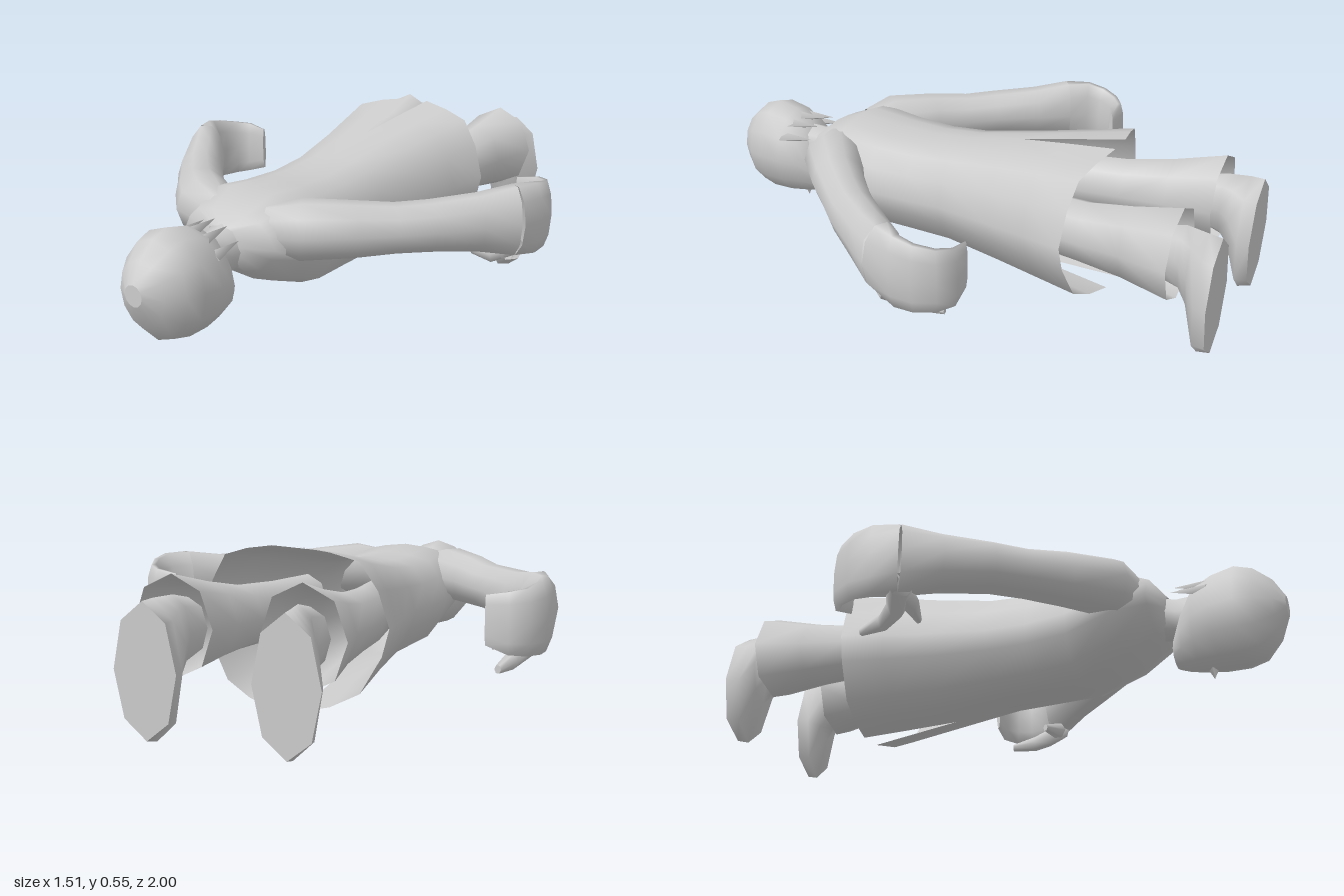
import * as THREE from 'three';
import { mergeGeometries, mergeVertices } from 'three/addons/utils/BufferGeometryUtils.js';

const material = new THREE.MeshStandardMaterial({ color: 0xcccccc, side: THREE.DoubleSide });
const V = (x, y, z) => new THREE.Vector3(x, y, z);

// Skin a list of rings (arrays of Vector3); caps get their own hard-edged vertices
function loft(rings, { closed = true, capStart = false, capEnd = false } = {}) {
  const pos = [], index = [], n = rings[0].length;
  rings.forEach(r => r.forEach(p => pos.push(p.x, p.y, p.z)));
  for (let i = 0; i < rings.length - 1; i++) {
    for (let j = 0; j < (closed ? n : n - 1); j++) {
      const a = i * n + j, b = i * n + (j + 1) % n;
      index.push(a, a + n, b, b, a + n, b + n);
    }
  }
  const cap = (ring, flip) => {
    const base = pos.length / 3;
    const c = ring.reduce((s, p) => s.add(p), V(0, 0, 0)).divideScalar(n);
    [c, ...ring].forEach(p => pos.push(p.x, p.y, p.z));
    for (let j = 0; j < n; j++) {
      const a = base + 1 + j, b = base + 1 + (j + 1) % n;
      index.push(base, flip ? b : a, flip ? a : b);
    }
  };
  if (capStart) cap(rings[0], false);
  if (capEnd) cap(rings[rings.length - 1], true);
  const g = new THREE.BufferGeometry();
  g.setAttribute('position', new THREE.Float32BufferAttribute(pos, 3));
  g.setIndex(index);
  g.computeVertexNormals();
  return g;
}

// Oval ring across z: [z, centre x, half width, bottom y, top y]
function oval([z, cx, w, lo, hi], n) {
  return Array.from({ length: n }, (_, j) => {
    const a = (j / n) * Math.PI * 2 - Math.PI / 2;
    return V(cx + w * Math.cos(a), (lo + hi) / 2 + (hi - lo) / 2 * Math.sin(a), z);
  });
}
const ovalLoft = (rows, n, opts) => loft(rows.map(r => oval(r, n)), opts);

// Mirrored copy across x = 0 with the winding restored
function mirrored(g) {
  const m = g.clone().scale(-1, 1, 1), ix = m.index.array;
  for (let i = 0; i < ix.length; i += 3) [ix[i], ix[i + 1]] = [ix[i + 1], ix[i]];
  m.computeVertexNormals();
  return m;
}

// Tube with oval sections along a path: [x, y, z, half width, half height]
function limb(rows, n, opts) {
  const p = rows.map(r => V(r[0], r[1], r[2]));
  return loft(rows.map((r, i) => {
    const t = p[Math.min(i + 1, p.length - 1)].clone().sub(p[Math.max(i - 1, 0)]);
    t.y = 0;
    const u = t.normalize().cross(V(0, 1, 0));
    return Array.from({ length: n }, (_, j) => {
      const a = (j / n) * Math.PI * 2;
      return p[i].clone().addScaledVector(u, r[3] * Math.cos(a)).add(V(0, r[4] * Math.sin(a), 0));
    });
  }), opts);
}

// Long coat: half section from bottom centre to top centre, split front and back
function coat() {
  const section = [[0, 0], [.35, .04], [.68, .13], [.92, .36], [1, .53], [.88, .75], [.68, .92], [.36, .97], [0, 1]];
  // z, half width, bottom y, top y, slit half gap, hem dip at the centre
  const rows = [
    [.61, .07, .23, .36, 0, 0], [.575, .19, .2, .4, 0, 0], [.46, .24, .13, .45, 0, 0],
    [.3, .23, .067, .438, 0, 0], [.15, .22, .064, .435, 0, 0], [0, .22, .062, .45, 0, 0],
    [-.21, .26, .042, .49, 0, 0], [-.36, .295, .032, .52, .02, .025], [-.51, .33, .022, .55, .043, .06],
  ];
  const half = loft(rows.map(([z, w, lo, hi, gap, dip]) => section.map(([sx, sy]) =>
    V(gap + (w - gap) * sx, lo + (hi - lo) * sy, z - dip * (1 - sx)))), { closed: false });
  const whole = mergeGeometries([half, mirrored(half)]);
  whole.deleteAttribute('normal');
  const g = mergeVertices(whole, 1e-4);
  g.computeVertexNormals();
  return g;
}

export function createModel() {
  const model = new THREE.Group();
  model.name = 'proneFigure';
  const add = (name, g) => {
    const m = new THREE.Mesh(g, material);
    m.name = name;
    model.add(m);
    return m;
  };
  const pair = (name, g) => {
    add('left' + name, g);
    add('right' + name, mirrored(g));
  };

  add('coat', coat());

  // Head lies face down, crown towards +z
  add('head', ovalLoft([
    [1, 0, .035, .22, .29], [.965, 0, .09, .14, .355], [.91, 0, .132, .08, .405],
    [.85, 0, .148, .065, .425], [.77, 0, .145, .067, .407], [.7, 0, .118, .075, .375],
    [.655, 0, .09, .085, .3], [.62, 0, .055, .1, .2],
  ], 12, { capStart: true, capEnd: true }));
  add('neck', ovalLoft([[.72, 0, .075, .18, .36], [.64, 0, .07, .2, .355], [.56, 0, .085, .21, .38]], 8));
  const nose = new THREE.ConeGeometry(.025, .05, 4);
  nose.rotateX(Math.PI).translate(0, .065, .74);
  add('nose', nose);

  // Pointed locks over the nape
  [[-.095, .33], [-.05, .37], [0, .385], [.05, .37], [.095, .33]].forEach(([x, y]) => {
    const lock = new THREE.ConeGeometry(.035, .13, 4);
    lock.scale(1, 1, .6).rotateX(-Math.PI / 2 + .12).translate(x, y, .7);
    add('hairLock', lock);
  });

  // Sleeve and cupped hand in one sweep
  pair('Arm', limb([
    [.1, .33, .5, .07, .09], [.2, .345, .455, .105, .1], [.325, .34, .345, .092, .093],
    [.42, .335, .245, .085, .083], [.5, .335, .16, .083, .086], [.6, .33, .03, .077, .1],
    [.68, .325, -.075, .07, .125],
  ], 10));
  pair('Hand', limb([
    [.68, .325, -.075, .07, .125], [.72, .32, -.15, .036, .13], [.722, .315, -.215, .03, .122],
    [.695, .31, -.275, .026, .113], [.65, .31, -.312, .02, .105], [.575, .315, -.31, .008, .085],
  ], 10, { capEnd: true }));

  // Thumb hooks down and inwards from the palm
  pair('Thumb', limb([
    [.69, .23, -.06, .045, .045], [.64, .185, -.1, .035, .04],
    [.615, .155, -.16, .026, .03], [.6, .145, -.25, .012, .015],
  ], 6, { capEnd: true }));
  pair('Finger', limb([
    [.69, .24, -.09, .035, .04], [.62, .2, -.06, .03, .035], [.53, .185, -.08, .01, .015],
  ], 6, { capEnd: true }));

  // Flared trousers, open at the cuffs
  pair('Leg', ovalLoft([
    [-.15, .13, .075, .2, .4], [-.35, .165, .09, .2, .4], [-.54, .187, .095, .2, .412],
    [-.7, .2, .108, .19, .445], [-.87, .217, .138, .17, .49],
  ], 8));

  // Shoes stand on their toes, soles facing -z
  pair('Shoe', ovalLoft([
    [-.8, .205, .065, .23, .41], [-.88, .207, .06, .2, .43], [-.915, .215, .075, .15, .43],
    [-.955, .225, .095, 0, .43], [-1, .23, .108, .012, .427],
  ], 8, { capEnd: true }));

  return model;
}
